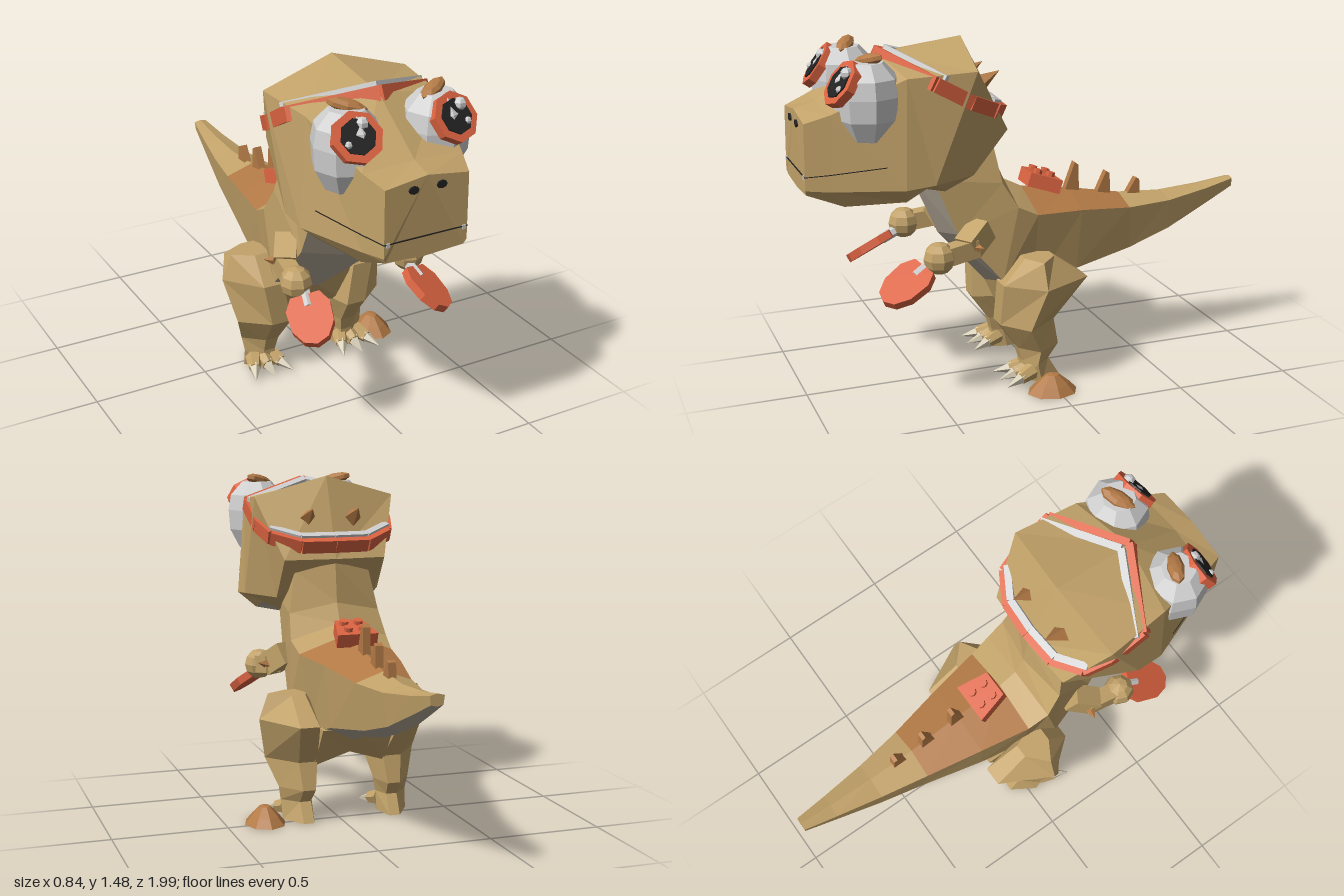
import * as THREE from 'three';

const mat = (name, hex) => Object.assign(new THREE.MeshStandardMaterial({ color: hex, flatShading: true }), { name });
const V = (x, y, z) => new THREE.Vector3(x, y, z);
const outline = pts => new THREE.Shape(pts.map(p => new THREE.Vector2(...p)));

export function createModel() {
  const tan = mat('tan skin', 0xc2a269), grey = mat('grey belly', 0xb4a998), white = mat('pale grey', 0xcfcfcf),
    red = mat('orange red', 0xdb6341), black = mat('black', 0x222222), brown = mat('brown', 0xb37a46),
    bone = mat('bone', 0xd6cdb6);
  const root = new THREE.Group(); root.name = 'dinosaur';
  const body = new THREE.Group(); body.name = 'body'; body.position.x = -0.04; root.add(body);

  function add(name, geo, material, pos, parent = body) {
    const m = new THREE.Mesh(geo, material);
    m.name = name;
    if (pos) m.position.copy(pos);
    parent.add(m);
    return m;
  }
  // Turn a mesh so its y axis follows a direction
  const aim = (m, dir) => { m.quaternion.setFromUnitVectors(V(0, 1, 0), dir.clone().normalize()); return m; };

  // Skin closed rings of points; pick(i, j) chooses the material of each panel
  function loft(name, rings, mats, pick = () => 0) {
    const n = rings[0].length, sets = mats.map(() => []);
    const tri = (k, a, b, c) => sets[k].push([a, b, c]);
    for (let i = 0; i < rings.length - 1; i++) for (let j = 0; j < n; j++) {
      const a = rings[i][j], b = rings[i][(j + 1) % n], c = rings[i + 1][(j + 1) % n], d = rings[i + 1][j];
      tri(pick(i, j), a, b, c); tri(pick(i, j), a, c, d);
    }
    const last = rings[rings.length - 1];
    for (let j = 1; j < n - 1; j++) {
      tri(0, rings[0][0], rings[0][j + 1], rings[0][j]);
      tri(0, last[0], last[j], last[j + 1]);
    }
    let vol = 0;
    sets.flat().forEach(([a, b, c]) => { vol += a.dot(b.clone().cross(c)); });
    const geo = new THREE.BufferGeometry(), pts = [];
    sets.forEach((s, k) => {
      geo.addGroup(pts.length, s.length * 3, k);
      s.forEach(([a, b, c]) => pts.push(...(vol > 0 ? [a, b, c] : [a, c, b])));
    });
    geo.setFromPoints(pts);
    geo.computeVertexNormals();
    return add(name, geo, mats);
  }

  // Tail, torso and neck: top z, top y, bottom z, bottom y, upper and lower half width
  const sections = [
    [-0.995, 0.75, -0.995, 0.70, 0.03, 0.025], [-0.85, 0.73, -0.87, 0.635, 0.052, 0.04],
    [-0.65, 0.718, -0.66, 0.53, 0.084, 0.065], [-0.44, 0.73, -0.46, 0.46, 0.12, 0.09],
    [-0.2, 0.775, -0.18, 0.40, 0.17, 0.14], [0.02, 0.805, 0.03, 0.32, 0.21, 0.16],
    [0.1, 0.845, 0.19, 0.40, 0.22, 0.21], [0.14, 0.93, 0.4, 0.64, 0.205, 0.18],
    [0.16, 1.1, 0.51, 0.89, 0.17, 0.17]];
  loft('torso', sections.map(([tz, ty, bz, by, wu, wl]) => {
    const p = (x, t) => V(x, ty + (by - ty) * t, tz + (bz - tz) * t);
    return [p(0, 0), p(wu, 0.15), p(wl, 0.87), p(0, 1), p(-wl, 0.87), p(-wu, 0.15)];
  }), [tan, grey, brown], (i, j) => {
    if (j === 2 || j === 3) return i === 5 ? 0 : 1;
    return (j === 0 || j === 5) && (i === 3 || i === 4) ? 2 : 0;
  });

  // Hips between the legs
  loft('hips', [-1, 0, 1].map(s => {
    const low = s ? 0.25 : 0.3, x = s * 0.16;
    return [V(x, s ? 0.45 : 0.4, 0.185), V(x, low, 0.11), V(x, low, -0.03), V(x, 0.43, -0.15)];
  }), [tan]);

  // Head, from muzzle to nape: top, brow, cheek, jaw and underside of each ring
  const headRings = [
    [[0, 1.225, 0.99], [0.18, 1.2, 0.99], [0.18, 0.93, 0.995], [0.17, 0.91, 0.99], [0, 0.9, 0.99]],
    [[0, 1.25, 0.9], [0.215, 1.235, 0.89], [0.215, 0.925, 0.9], [0.18, 0.85, 0.84], [0, 0.82, 0.83]],
    [[0, 1.425, 0.64], [0.29, 1.37, 0.6], [0.32, 0.93, 0.62], [0.24, 0.86, 0.6], [0, 0.81, 0.6]],
    [[0, 1.475, 0.285], [0.32, 1.385, 0.32], [0.32, 0.94, 0.5], [0.22, 0.9, 0.51], [0, 0.89, 0.51]],
    [[0, 1.12, 0.15], [0.23, 1.12, 0.165], [0.225, 0.94, 0.31], [0.18, 0.87, 0.42], [0, 0.86, 0.44]]];
  loft('head', headRings.map(r => [...r.map(p => V(...p)),
    ...r.slice(1, 4).reverse().map(([x, y, z]) => V(-x, y, z))]),
  [tan, grey], (i, j) => (i > 0 && (j === 3 || j === 4) ? 1 : 0));

  // Bar of given height and thickness between two points
  function bar(name, a, b, up, h, t, material) {
    const d = b.clone().sub(a), len = d.length(), x = d.normalize();
    const z = x.clone().cross(up).normalize(), y = z.clone().cross(x);
    const m = add(name, new THREE.BoxGeometry(len, h, t), material, a.clone().add(b).multiplyScalar(0.5));
    m.quaternion.setFromRotationMatrix(new THREE.Matrix4().makeBasis(x, y, z));
    return m;
  }

  // Strap round the head with a pale inner edge at the front and back
  const strap = [[0, 1.425, 0.65], [0.31, 1.345, 0.49], [0.302, 1.26, 0.34], [0.27, 1.215, 0.235], [0.15, 1.18, 0.165], [0, 1.18, 0.155]];
  const strapUp = V(0, 0.9, -0.44);
  for (const s of [1, -1]) for (let i = 0; i < strap.length - 1; i++) {
    const [a, b] = [strap[i], strap[i + 1]].map(([x, y, z]) => V(s * x, y, z));
    bar('strap', a, b, strapUp, 0.06, 0.03, red);
    if (i === 1 || i === 2) continue;
    const shift = i === 0 ? V(0, 0.018, -0.05) : V(0, 0.04, 0.015);
    bar('strapEdge', a.add(shift), b.add(shift), strapUp, 0.022, 0.03, white);
  }

  // Faceted pod that forms each eyeball
  const pod = new THREE.LatheGeometry([[0, -0.155], [0.085, -0.155], [0.13, -0.07], [0.137, 0.02], [0.125, 0.09],
    [0.07, 0.15], [0, 0.15]].map(p => new THREE.Vector2(...p)), 8);

  for (const s of [1, -1]) {
    // Bulging eye with rim, pupil, highlights and lid
    add('eyeball', pod, white, V(s * 0.193, 1.28, 0.735));
    const look = V(s * 0.12, 0.55, 0.82).normalize(), eye = V(s * 0.208, 1.352, 0.835);
    aim(add('eyeRim', new THREE.CylinderGeometry(0.1, 0.1, 0.035, 8), red, eye), look);
    aim(add('pupil', new THREE.CylinderGeometry(0.07, 0.07, 0.008, 8), black, eye.clone().addScaledVector(look, 0.019)), look);
    const shine = eye.clone().addScaledVector(look, 0.018);
    add('highlight', new THREE.SphereGeometry(0.026, 6, 5), white, shine.clone().add(V(0.03, 0.037, -0.025)));
    add('smallHighlight', new THREE.SphereGeometry(0.015, 6, 4), white, shine.clone().add(V(s * 0.045, -0.02, 0.01)));
    const lid = add('eyelid', new THREE.SphereGeometry(1, 8, 5), brown, V(s * 0.185, 1.435, 0.725));
    lid.scale.set(0.08, 0.026, 0.035); lid.rotation.set(0, s * 0.5, s * 0.25);

    // Nostril and mouth line
    const nostril = add('nostril', new THREE.CylinderGeometry(1, 1, 0.008, 8), black, V(s * 0.06, 1.178, 0.993));
    nostril.rotation.x = Math.PI / 2; nostril.scale.set(0.022, 1, 0.016);
    bar('mouth', V(0, 0.985, 0.994), V(s * 0.181, 0.985, 0.994), V(0, 1, 0), 0.004, 0.004, black);
    bar('mouthSide', V(s * 0.181, 0.985, 0.993), V(s * 0.216, 0.995, 0.9), V(0, 1, 0), 0.003, 0.003, black);
    bar('mouthCorner', V(s * 0.216, 0.995, 0.9), V(s * 0.295, 1.025, 0.69), V(0, 1, 0), 0.003, 0.003, black);
    add('tooth', new THREE.BoxGeometry(0.014, 0.018, 0.01), white, V(s * 0.165, 0.982, 0.993));

    // Horn on the back of the head
    aim(add('headSpike', new THREE.ConeGeometry(0.055, 0.14, 4), brown, V(s * 0.105, 1.305, 0.215)), V(0, 0.45, -0.8));

    // Arm, hand and paddle
    bar('upperArm', V(s * 0.19, 0.7, 0.26), V(s * 0.245, 0.635, 0.35), V(0, 1, 0), 0.1, 0.09, tan);
    bar('forearm', V(s * 0.245, 0.64, 0.31), V(s * 0.262, 0.62, 0.45), V(0, 1, 0), 0.075, 0.07, tan);
    aim(add('elbowSpike', new THREE.ConeGeometry(0.03, 0.07, 4), brown, V(s * 0.285, 0.645, 0.31)), V(s, 0.2, -0.3));
    add('hand', new THREE.SphereGeometry(0.068, 8, 6), tan, V(s * 0.262, 0.615, 0.475));
    const d = V(s * 0.2, -0.5, 0.84).normalize();
    aim(add('paddleGrip', new THREE.CylinderGeometry(0.024, 0.024, 0.1, 6), white, V(s * 0.25, 0.575, 0.535)), d);
    const blade = outline([[-0.105, -0.06], [-0.05, -0.09], [0.04, -0.085], [0.1, -0.05], [0.12, 0],
      [0.1, 0.05], [0.04, 0.085], [-0.05, 0.09], [-0.105, 0.06]]);
    const n = d.clone().cross(V(-s * 0.9, 0.4, 0.1)).normalize(), w = n.clone().cross(d);
    const paddle = add('paddle', new THREE.ExtrudeGeometry(blade, { depth: 0.035, bevelEnabled: false }).translate(0, 0, -0.0175),
      red, V(s * 0.272, 0.522, 0.62));
    paddle.quaternion.setFromRotationMatrix(new THREE.Matrix4().makeBasis(d, w, n));

    // Leg: height, inner and outer x, front and back z
    const leg = [[0.565, 0.17, 0.345, 0.1, -0.03], [0.455, 0.14, 0.385, 0.195, -0.18], [0.27, 0.11, 0.345, 0.2, -0.04],
      [0.15, 0.137, 0.3, 0.115, -0.065], [0.09, 0.15, 0.29, 0.1, -0.02], [0.005, 0.15, 0.285, 0.1, -0.07]];
    loft('leg', leg.map(([y, x0, x1, zf, zb]) => {
      const c = (x0 + x1) / 2, h = (x1 - x0) / 2, m = zf * 0.6 + zb * 0.4;
      return [[h, m], [0, zf], [-h * 0.75, zf], [-h, m], [-h * 0.65, zb], [h * 0.05, zb]]
        .map(([x, z]) => V(s * (c + x), y, z));
    }), [tan]);
    for (const k of [-1, 0, 1]) {
      const dir = V(s * k * 0.4, -0.28, 1), toe = V(s * (0.217 + k * 0.052), 0.045, 0.1);
      aim(add('toe', new THREE.CylinderGeometry(0.027, 0.037, 0.07, 6), tan, toe), dir);
      aim(add('claw', new THREE.ConeGeometry(0.028, 0.09, 5), bone, toe.clone().addScaledVector(dir, 0.062)), dir);
    }
  }

  // Spikes down the back
  for (const [z, y, h] of [[-0.21, 0.76, 0.13], [-0.36, 0.73, 0.105], [-0.505, 0.71, 0.08]]) {
    const fin = outline([[-0.035, 0], [0.035, 0], [0.03, h * 0.9], [0.014, h]]);
    const geo = new THREE.ExtrudeGeometry(fin, { depth: 0.034, bevelEnabled: false }).translate(0, 0, -0.017);
    add('backSpike', geo, brown, V(0, y, z)).rotation.y = Math.PI / 2;
  }

  // Studded plate on the back
  const plate = new THREE.Group(); plate.name = 'studdedPlate';
  plate.position.set(0, 0.83, -0.065); plate.rotation.x = -0.3; body.add(plate);
  const slab = outline([[-0.06, -0.07], [0.06, -0.07], [0.09, 0.07], [-0.09, 0.07]]);
  add('plate', new THREE.ExtrudeGeometry(slab, { depth: 0.06, bevelEnabled: false }).rotateX(-Math.PI / 2).translate(0, -0.035, 0), red, null, plate);
  for (const x of [-0.032, 0.032]) for (const z of [-0.03, 0.03])
    add('stud', new THREE.CylinderGeometry(0.02, 0.02, 0.02, 8), red, V(x, 0.033, z), plate);

  // Mound on the ground
  const heap = [[0, 0], [1, 0], [0.68, 0.036], [0.26, 0.076], [0, 0.08]].map(p => new THREE.Vector2(...p));
  add('mound', new THREE.LatheGeometry(heap, 8), brown, V(0.33, 0, 0.02), root).scale.set(0.09, 1, 0.11);
  return root;
}
